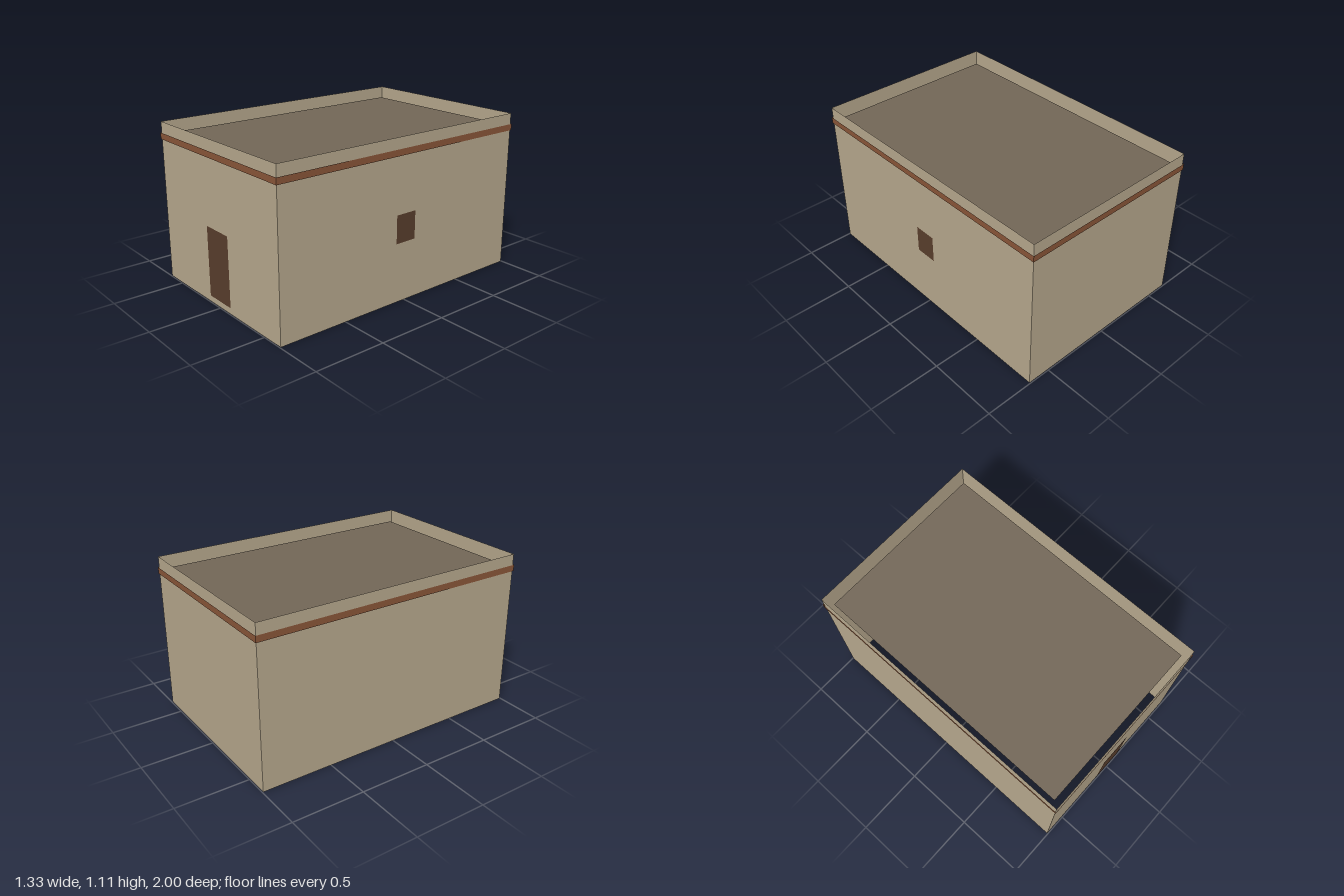
import * as THREE from 'three';
import { mergeGeometries } from 'three/addons/utils/BufferGeometryUtils.js';

const flat = (name, color) => {
  const m = new THREE.MeshStandardMaterial({ color, side: THREE.DoubleSide });
  m.name = name;
  return m;
};

// Four upright sheets around a rectangle, open at top and bottom
function openRing(halfX, halfZ, y0, y1) {
  const sides = [];
  for (let i = 0; i < 4; i++) {
    const [halfWidth, distance] = i % 2 ? [halfZ, halfX] : [halfX, halfZ];
    sides.push(new THREE.PlaneGeometry(halfWidth * 2, y1 - y0)
      .translate(0, (y0 + y1) / 2, distance)
      .rotateY(i * Math.PI / 2));
  }
  return mergeGeometries(sides);
}

export function createModel() {
  const plaster = flat('sand plaster', 0xb9aa8f);
  const clay = flat('clay trim', 0x8b5739);
  const roofing = flat('roof brown', 0x736757);
  const wood = flat('dark wood', 0x5a3f2d);

  const house = new THREE.Group();
  house.name = 'flatRoofHouse';
  const add = (name, geometry, material) => {
    const mesh = new THREE.Mesh(geometry, material);
    mesh.name = name;
    house.add(mesh);
    return mesh;
  };

  const X = 0.659, Z = 0.994;

  // Thin walls rising past the roof as a parapet
  add('walls', openRing(X, Z, 0, 1.113), plaster);

  // Trim band around the walls at roof height
  add('trimBand', openRing(0.665, 1, 0.993, 1.037), clay);

  // Flat roof, set slightly inside the walls
  add('roof', new THREE.PlaneGeometry(1.232, 1.892).rotateX(-Math.PI / 2), roofing)
    .position.y = 1.037;

  // Door in the front wall
  add('door', new THREE.PlaneGeometry(0.242, 0.486), wood)
    .position.set(0, 0.288, Z + 0.003);

  // Single small window in the +x wall
  add('window', new THREE.PlaneGeometry(0.16, 0.194).rotateY(Math.PI / 2), wood)
    .position.set(X + 0.003, 0.509, 0);

  return house;
}
